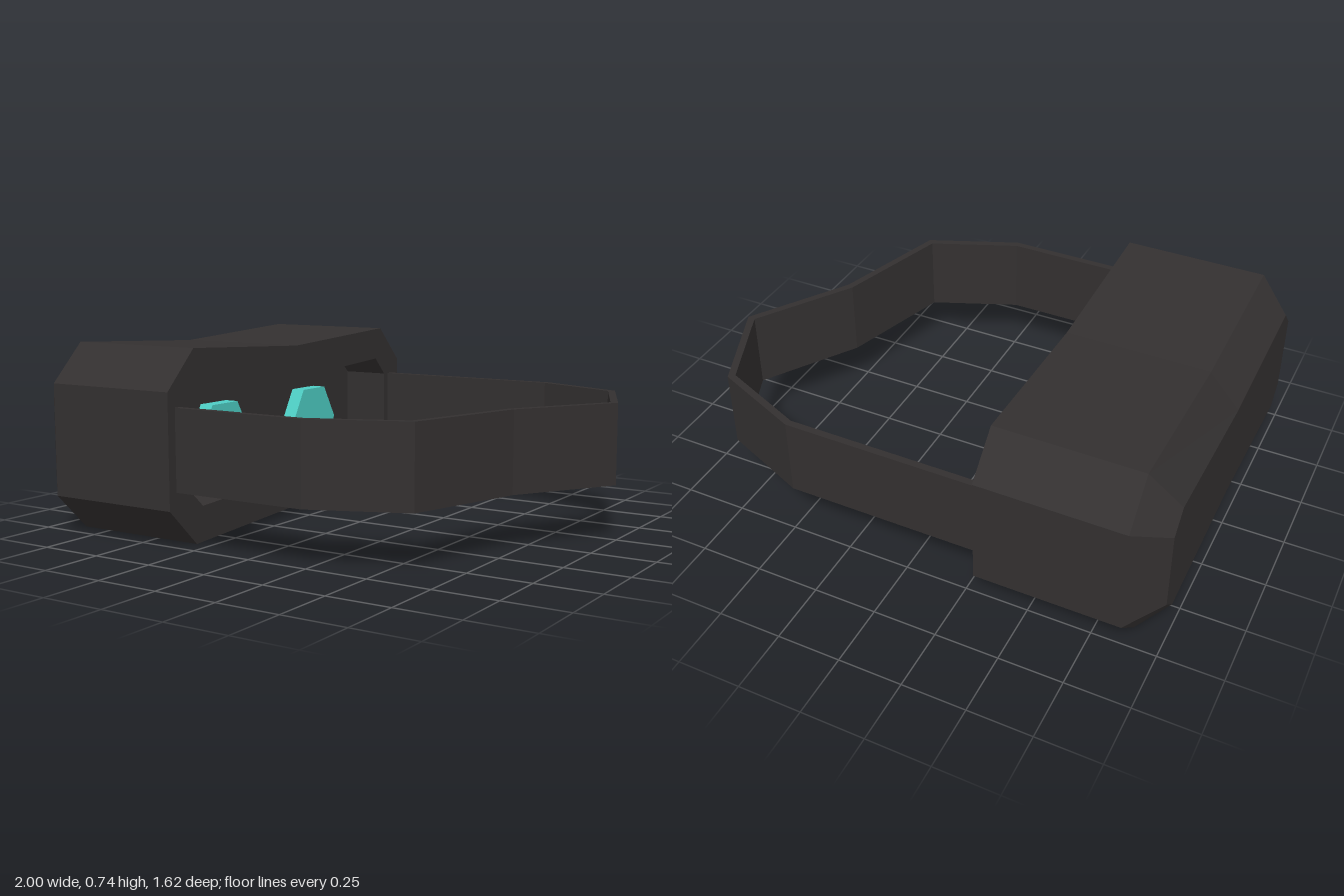
import * as THREE from 'three';

const dark = new THREE.MeshStandardMaterial({ color: 0x333030, flatShading: true });
const teal = new THREE.MeshStandardMaterial({ color: 0x4ecdc4, flatShading: true });

// Closed outlines in [z, y], mirrored across z = 0
const mirrored = (half) => [...half, ...half.slice(1, -1).reverse().map(([z, y]) => [-z, y])];
const outer = mirrored([[0, 0.705], [0.66, 0.74], [0.81, 0.59], [0.81, 0.15], [0.66, 0], [0, 0.037]]).reverse();
const inner = mirrored([[0, 0.57], [0.62, 0.605], [0.695, 0.53], [0.695, 0.21], [0.62, 0.14], [0, 0.172]]).reverse();

// Skin a series of [x, outline] rings and close both ends with fans
function loft(rings) {
  const positions = [];
  const point = ([x, outline], i) => {
    const [z, y] = outline[i % outline.length];
    return [x, y, z];
  };
  const tri = (a, b, c) => positions.push(...a, ...b, ...c);
  const first = rings[0];
  const last = rings[rings.length - 1];
  for (let i = 0; i < outer.length; i++) {
    for (let r = 0; r < rings.length - 1; r++) {
      const a = point(rings[r], i), b = point(rings[r + 1], i);
      const c = point(rings[r + 1], i + 1), d = point(rings[r], i + 1);
      tri(a, b, c);
      tri(a, c, d);
    }
    tri([first[0], 0.37, 0], point(first, i), point(first, i + 1));
    tri([last[0], 0.37, 0], point(last, i + 1), point(last, i));
  }
  const geometry = new THREE.BufferGeometry();
  geometry.setAttribute('position', new THREE.Float32BufferAttribute(positions, 3));
  geometry.computeVertexNormals();
  return geometry;
}

// Offset an open path sideways with mitred corners
function offsetPath(path, distance) {
  return path.map((p, i) => {
    const before = p.clone().sub(path[Math.max(i - 1, 0)]).normalize();
    const after = path[Math.min(i + 1, path.length - 1)].clone().sub(p).normalize();
    const dir = before.clone().add(after).normalize();
    const cos = dir.dot(i === 0 ? after : before);
    return new THREE.Vector2(p.x - dir.y * distance / cos, p.y + dir.x * distance / cos);
  });
}

function addMesh(group, name, geometry, material) {
  const mesh = new THREE.Mesh(geometry, material);
  mesh.name = name;
  group.add(mesh);
  return mesh;
}

export function createModel() {
  const group = new THREE.Group();
  group.name = 'headset';

  // Housing: chamfered front, straight sides, flat rim and a recessed eye cavity
  addMesh(group, 'housing', loft([
    [-1, inner], [-0.88, outer], [-0.31, outer], [-0.31, inner], [-0.51, inner],
  ]), dark);

  // Hexagonal lenses on the cavity floor
  for (const [name, z] of [['leftLens', 0.30], ['rightLens', -0.33]]) {
    const lens = addMesh(group, name, new THREE.CylinderGeometry(0.16, 0.16, 0.06, 6).rotateZ(Math.PI / 2), teal);
    lens.position.set(-0.48, 0.35, z);
  }

  // Head strap: thin band following a faceted loop, points in [x, z]
  const path = [
    [-0.32, -0.74], [0.48, -0.74], [0.83, -0.595], [0.983, -0.235],
    [0.74, 0.145], [0.60, 0.61], [0.245, 0.757], [-0.32, 0.757],
  ].map(([x, z]) => new THREE.Vector2(x, -z));
  const band = new THREE.Shape([...offsetPath(path, 0.014), ...offsetPath(path, -0.014).reverse()]);
  const strap = new THREE.ExtrudeGeometry(band, { depth: 0.315, bevelEnabled: false });
  strap.rotateX(-Math.PI / 2).translate(0, 0.215, 0);
  addMesh(group, 'headStrap', strap, dark);

  return group;
}
